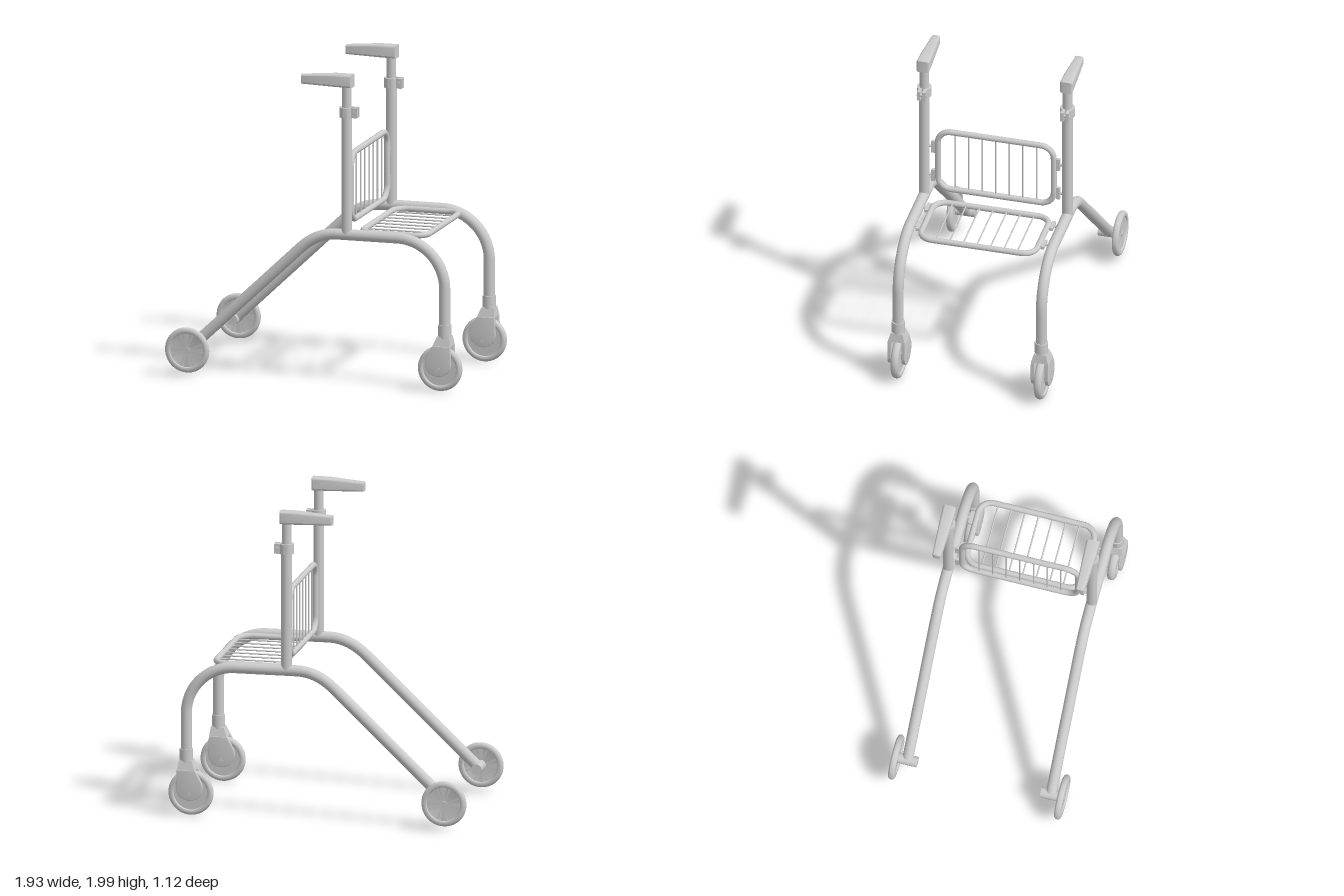
import * as THREE from 'three';
import { toCreasedNormals } from 'three/addons/utils/BufferGeometryUtils.js';

const V = (x, y, z = 0) => new THREE.Vector3(x, y, z);
const grey = new THREE.MeshStandardMaterial({ color: 0xcccccc, side: THREE.DoubleSide });
const SIDE_Z = 0.465;

function add(parent, name, geo, x = 0, y = 0, z = 0) {
  const mesh = new THREE.Mesh(geo, grey);
  mesh.name = name;
  mesh.position.set(x, y, z);
  parent.add(mesh);
  return mesh;
}

// Cylinder lying along z
const rodZ = (r, len, seg = 24) => new THREE.CylinderGeometry(r, r, len, seg).rotateX(Math.PI / 2);

// Extruded outline centred on z = 0
function slab(shape, depth, bevel = 0) {
  const geo = new THREE.ExtrudeGeometry(shape, {
    depth: depth - 2 * bevel, bevelEnabled: bevel > 0, bevelSize: bevel, bevelThickness: bevel,
    bevelOffset: -bevel, bevelSegments: 3, curveSegments: 16,
  });
  return geo.translate(0, 0, -depth / 2 + bevel);
}

// Changes the depth of a geometry by a rule
function taperZ(geo, factor) {
  const p = geo.attributes.position;
  for (let i = 0; i < p.count; i++) p.setZ(i, p.getZ(i) * factor(p.getX(i), p.getY(i)));
  geo.computeVertexNormals();
  return geo;
}

// Rounded tyre with recessed disc and a small hub, axle along z
function wheel(name, width) {
  const h = width / 2, R = 0.145;
  const half = [[0, h * 0.55], [0.108, h * 0.55], [0.112, h * 0.9], [0.118, h], [0.128, h],
    [0.138, h * 0.8], [0.143, h * 0.45], [R, 0]];
  const profile = [...half, ...half.slice(0, -1).reverse().map(([r, y]) => [r, -y])]
    .reverse().map(([r, y]) => new THREE.Vector2(r, y));
  const group = new THREE.Group();
  group.name = name;
  add(group, 'tyre', toCreasedNormals(new THREE.LatheGeometry(profile, 48).rotateX(Math.PI / 2), 0.7));
  add(group, 'hubCap', rodZ(0.021, width * 0.8));
  return group;
}

// Bent tube running from the rear axle over the top to the caster
function frameTube() {
  const path = new THREE.CurvePath();
  const k = 0.31 * 0.5523;
  path.add(new THREE.LineCurve3(V(-0.812, 0.19), V(-0.1, 0.866)));
  path.add(new THREE.QuadraticBezierCurve3(V(-0.1, 0.866), V(0.01, 0.97), V(0.14, 0.97)));
  path.add(new THREE.LineCurve3(V(0.14, 0.97), V(0.54, 0.97)));
  path.add(new THREE.CubicBezierCurve3(V(0.54, 0.97), V(0.54 + k, 0.97), V(0.85, 0.66 + k), V(0.85, 0.66)));
  path.add(new THREE.LineCurve3(V(0.85, 0.66), V(0.85, 0.4)));
  return new THREE.TubeGeometry(path, 110, 0.035, 20);
}

// Grip: side outline, narrower towards the rear tip
function gripGeometry() {
  const s = new THREE.Shape();
  s.moveTo(-0.092, 1.925);
  s.lineTo(0.14, 1.919);
  s.lineTo(0.246, 1.919);
  s.lineTo(0.246, 2);
  s.lineTo(0.13, 2);
  s.lineTo(-0.092, 1.982);
  s.closePath();
  const geo = taperZ(slab(s, 0.084, 0.014), (x) => 0.66 + 0.34 * Math.min(1, (x + 0.092) / 0.3));
  return toCreasedNormals(geo, 0.6);
}

// Split collar with two lugs
function clampGeometry() {
  const s = new THREE.Shape();
  const a = 0.62, gap = 0.006;
  s.moveTo(0.045 * Math.cos(a), 0.045 * Math.sin(a));
  s.absarc(0, 0, 0.046, a, 2 * Math.PI - a, false);
  s.lineTo(0.076, -0.028);
  s.lineTo(0.076, -gap);
  s.lineTo(0.03, -gap);
  s.absarc(0, 0, 0.031, -0.2, 0.2, true);
  s.lineTo(0.076, gap);
  s.lineTo(0.076, 0.028);
  s.closePath();
  return toCreasedNormals(slab(s, 0.064).rotateX(-Math.PI / 2), 0.6);
}

// Swivel caster with a crown and two cheek plates around the wheel
function caster() {
  const group = new THREE.Group();
  group.name = 'frontCaster';
  add(group, 'socket', new THREE.CylinderGeometry(0.042, 0.042, 0.1, 28), 0.85, 0.383);
  const crown = new THREE.Shape([[0.785, 0.3], [0.899, 0.3], [0.891, 0.36], [0.809, 0.36]]
    .map(([x, y]) => new THREE.Vector2(x, y)));
  add(group, 'forkCrown', toCreasedNormals(
    taperZ(slab(crown, 0.11), (x, y) => 1 - 0.3 * (y - 0.3) / 0.06), 0.6));
  const cheek = new THREE.Shape();
  cheek.moveTo(0.784, 0.302);
  cheek.lineTo(0.742, 0.225);
  cheek.bezierCurveTo(0.72, 0.17, 0.755, 0.107, 0.82, 0.107);
  cheek.bezierCurveTo(0.87, 0.107, 0.904, 0.14, 0.905, 0.19);
  cheek.lineTo(0.9, 0.302);
  cheek.closePath();
  for (const s of [-1, 1])
    add(group, 'forkCheek', toCreasedNormals(slab(cheek, 0.024, 0.004), 0.6), 0, 0, s * 0.045);
  const w = wheel('frontWheel', 0.05);
  w.position.set(0.82, 0.151, 0);
  group.add(w);
  add(group, 'frontAxle', rodZ(0.014, 0.12), 0.82, 0.151);
  return group;
}

// Rounded rectangular tube frame with thin bars and edge brackets, in the xy plane
function panel(name, w, h, bracketY) {
  const group = new THREE.Group();
  group.name = name;
  const r = 0.085, a = w / 2, b = h / 2, path = new THREE.CurvePath();
  const corners = [[a, b, 1, 0], [-a, b, 0, 1], [-a, -b, -1, 0], [a, -b, 0, -1]];
  let last = V(a, -b + r);
  const first = last;
  corners.forEach(([x, y], i) => {
    const c = V(x, y), n = corners[(i + 1) % 4];
    const into = c.clone().add(last.clone().sub(c).setLength(r));
    const out = c.clone().add(V(n[0], n[1]).sub(c).setLength(r));
    const q = 0.5523;
    path.add(new THREE.LineCurve3(last, into));
    path.add(new THREE.CubicBezierCurve3(into, into.clone().lerp(c, q), out.clone().lerp(c, q), out));
    last = out;
  });
  if (last.distanceTo(first) > 1e-6) path.add(new THREE.LineCurve3(last, first));
  add(group, 'panelFrame', new THREE.TubeGeometry(path, 160, 0.019, 14, true));
  for (let i = -3; i <= 3; i++)
    add(group, 'panelBar', new THREE.CylinderGeometry(0.005, 0.005, h, 8), i * 0.088);
  for (const s of [-1, 1]) for (const y of bracketY) {
    add(group, 'bracketPlate', new THREE.BoxGeometry(0.024, 0.085, 0.02), s * (a + 0.029), y);
    add(group, 'bracketPin', new THREE.CylinderGeometry(0.009, 0.009, 0.04, 12).rotateZ(Math.PI / 2),
      s * (a + 0.045), y);
  }
  return group;
}

export function createModel() {
  const model = new THREE.Group();
  model.name = 'rollingWalker';

  // Side frames with post, grip and wheels
  for (const s of [-1, 1]) {
    const side = new THREE.Group();
    side.name = s > 0 ? 'leftSide' : 'rightSide';
    side.position.z = s * SIDE_Z;
    model.add(side);
    add(side, 'sideFrame', frameTube());
    add(side, 'post', new THREE.CylinderGeometry(0.034, 0.034, 0.8, 24), 0.205, 1.37);
    add(side, 'innerPost', new THREE.CylinderGeometry(0.03, 0.03, 0.3, 24), 0.205, 1.8);
    add(side, 'heightClamp', clampGeometry(), 0.205, 1.758);
    add(side, 'clampBolt', rodZ(0.011, 0.064, 16), 0.262, 1.758);
    add(side, 'grip', gripGeometry());
    add(side, 'rearAxle', rodZ(0.034, 0.13), -0.823, 0.178, 0);
    const rear = wheel('rearWheel', 0.042);
    rear.position.set(-0.823, 0.178, s * 0.073);
    side.add(rear);
    side.add(caster());
  }

  // Backrest panel between the posts
  const back = panel('backPanel', 0.752, 0.43, [-0.125, 0.09]);
  back.rotation.y = Math.PI / 2;
  back.position.set(0.205, 1.255, 0);
  model.add(back);

  // Seat panel lying between the top tubes
  const seat = panel('seatPanel', 0.752, 0.43, [-0.13, 0.085]);
  seat.applyMatrix4(new THREE.Matrix4().makeBasis(V(0, 0, 1), V(1, 0, 0), V(0, 1, 0)));
  seat.position.set(0.478, 0.973, 0);
  model.add(seat);

  return model;
}
